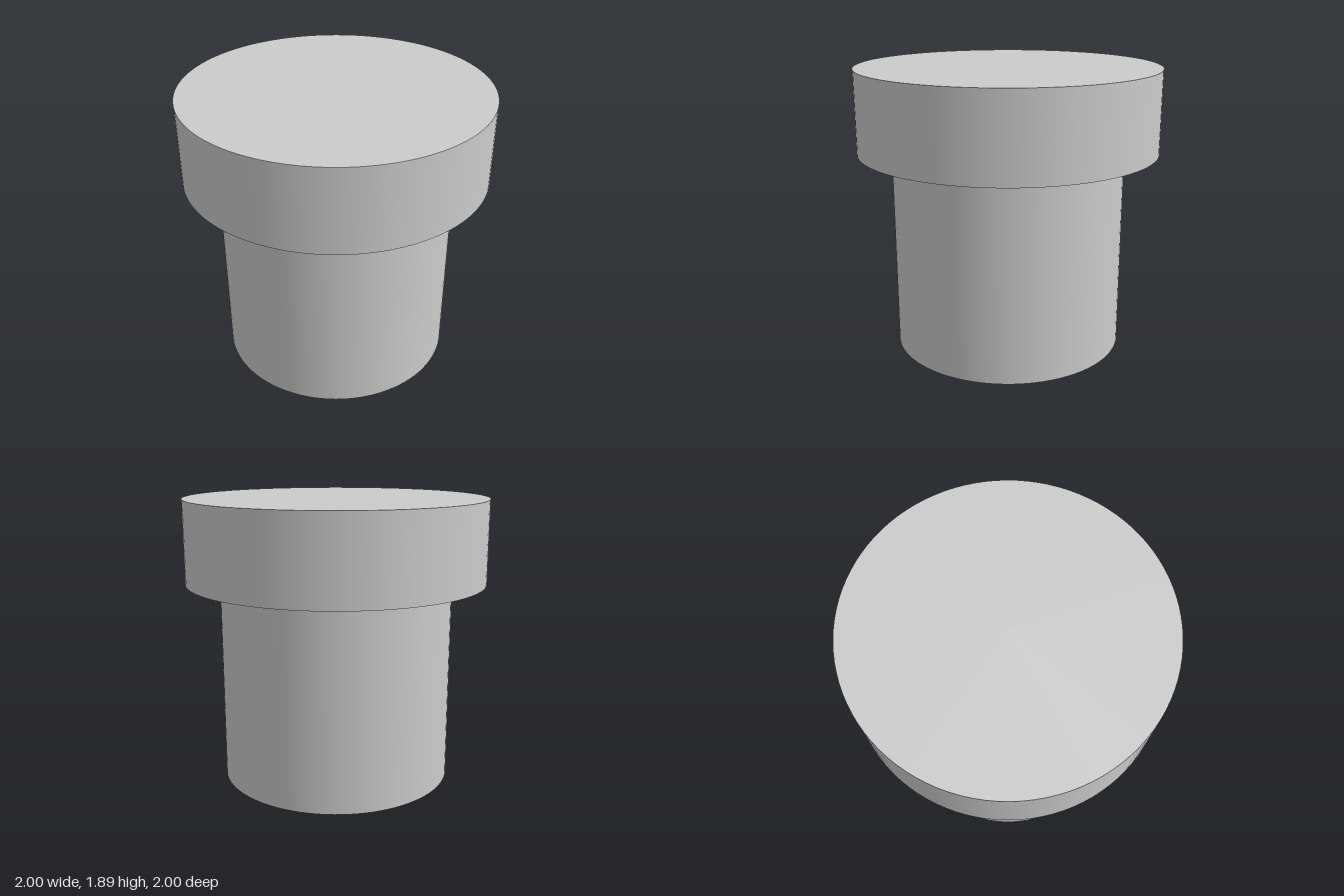
import * as THREE from 'three';

const SEGMENTS = 96;

export function createModel() {
  const model = new THREE.Group();
  const material = new THREE.MeshStandardMaterial({ color: 0xcccccc });

  // Upright cylinder standing between two heights
  const addCylinder = (name, radius, bottom, top) => {
    const geometry = new THREE.CylinderGeometry(radius, radius, top - bottom, SEGMENTS);
    const mesh = new THREE.Mesh(geometry, material);
    mesh.name = name;
    mesh.position.y = (bottom + top) / 2;
    model.add(mesh);
  };

  addCylinder('shaft', 0.775, 0, 1.34);
  addCylinder('head', 1, 1.34, 1.89);

  return model;
}
